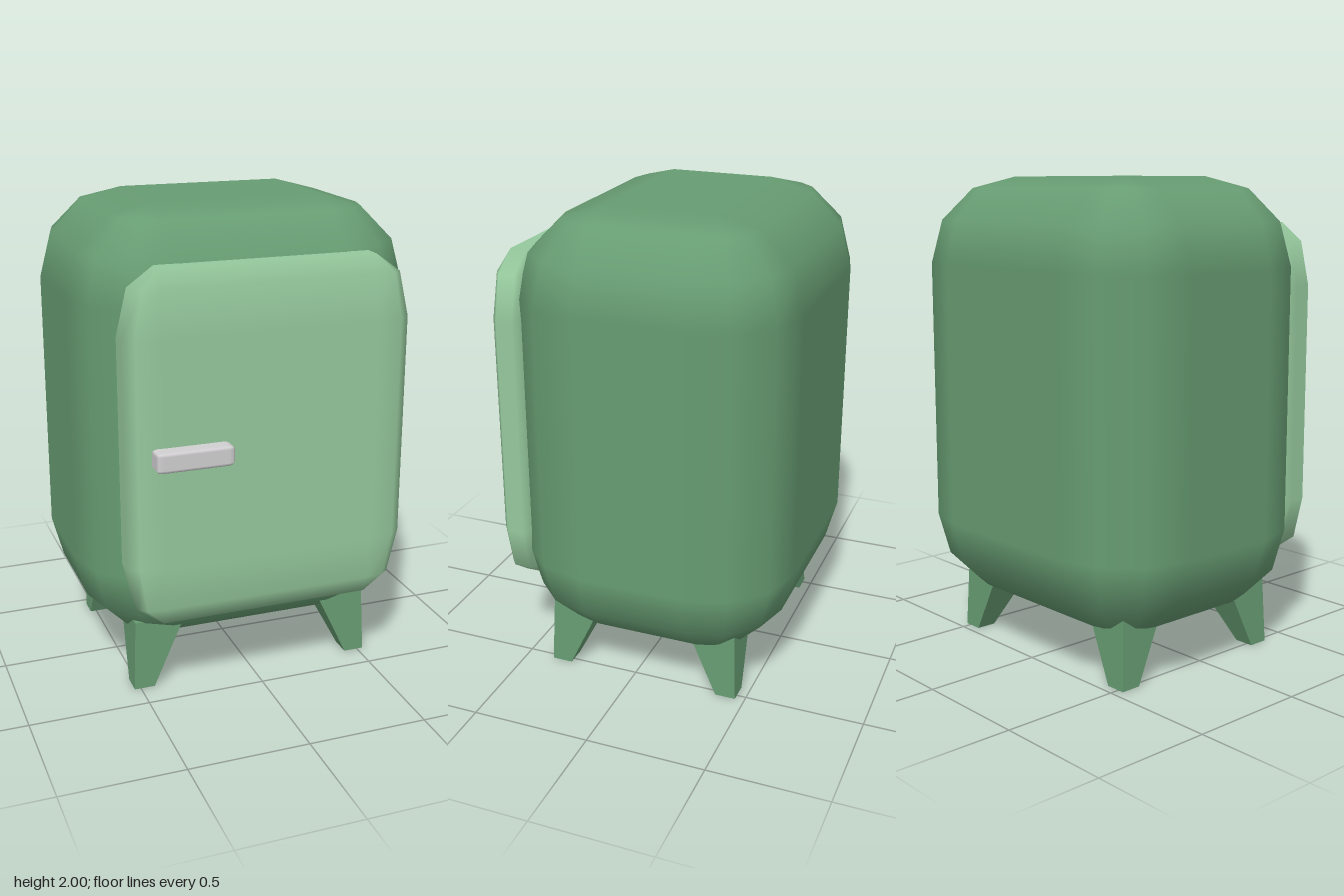
import * as THREE from 'three';

const bodyGreen = new THREE.MeshStandardMaterial({ name: 'body green', color: 0x679c72 });
const doorGreen = new THREE.MeshStandardMaterial({ name: 'door light green', color: 0x96c99d });
const handleGrey = new THREE.MeshStandardMaterial({ name: 'handle grey', color: 0xd2d0d2 });

// Box with elliptical rounded edges: half sizes, radii per axis, facets per quarter turn
function roundedBox(half, radii, steps) {
  const core = half.map((h, i) => h - radii[i]);
  const pos = [], nor = [], idx = [];
  const cols = 4 * (steps + 1);
  const quarter = Math.PI / 2;
  const add = (sx, sy, sz, n) => {
    const s = [sx, sy, sz];
    pos.push(...core.map((c, i) => s[i] * c + n[i] * radii[i]));
    nor.push(...new THREE.Vector3(...n.map((v, i) => v / radii[i])).normalize().toArray());
  };
  // Rings from bottom to top; each quadrant is pushed out to its own corner
  for (let side = -1; side <= 1; side += 2) {
    for (let r = 0; r <= steps; r++) {
      const lat = quarter * (side < 0 ? r / steps - 1 : r / steps);
      for (let q = 0; q < 4; q++) {
        const sx = q === 0 || q === 3 ? 1 : -1, sz = q < 2 ? 1 : -1;
        for (let k = 0; k <= steps; k++) {
          const lon = quarter * (q + k / steps);
          add(sx, side, sz, [Math.cos(lat) * Math.cos(lon), Math.sin(lat), Math.cos(lat) * Math.sin(lon)]);
        }
      }
    }
  }
  const rows = 2 * (steps + 1);
  for (let r = 0; r < rows - 1; r++) {
    for (let c = 0; c < cols; c++) {
      const a = r * cols + c, b = r * cols + (c + 1) % cols;
      idx.push(a, a + cols, b, b, a + cols, b + cols);
    }
  }
  // Flat bottom and top
  const [b0, b1, b2, b3] = [0, 1, 2, 3].map(q => q * (steps + 1));
  const t = (rows - 1) * cols;
  idx.push(b0, b1, b2, b0, b2, b3, t + b0, t + b2, t + b1, t + b0, t + b3, t + b2);
  const g = new THREE.BufferGeometry();
  g.setAttribute('position', new THREE.Float32BufferAttribute(pos, 3));
  g.setAttribute('normal', new THREE.Float32BufferAttribute(nor, 3));
  g.setIndex(idx);
  return g;
}

// Tapered leg whose outer corner stays almost upright
function legGeometry(sx, sz) {
  const g = new THREE.BoxGeometry(1, 1, 1);
  const p = g.attributes.position;
  for (let i = 0; i < p.count; i++) {
    const top = p.getY(i) > 0;
    const outer = top ? 0.515 : 0.527, inner = top ? 0.30 : 0.44;
    const x = p.getX(i) * sx > 0 ? outer : inner;
    const z = (p.getZ(i) * sz > 0 ? outer : inner) - 0.107;
    p.setXYZ(i, sx * x, top ? 0.3 : 0, sz * z - 0.04);
  }
  g.computeVertexNormals();
  return g;
}

export function createModel() {
  const model = new THREE.Group();
  model.name = 'refrigerator';
  const part = (name, geometry, material, x = 0, y = 0, z = 0) => {
    const mesh = new THREE.Mesh(geometry, material);
    mesh.name = name;
    mesh.position.set(x, y, z);
    model.add(mesh);
  };

  part('body', roundedBox([0.71, 0.91, 0.58], [0.36, 0.36, 0.36], 3), bodyGreen, 0, 1.09, -0.065);
  part('door', roundedBox([0.59, 0.72, 0.083], [0.15, 0.26, 0.048], 2), doorGreen, 0, 1.09, 0.5);
  part('handle', roundedBox([0.157, 0.041, 0.04], [0.025, 0.014, 0.012], 2), handleGrey, -0.335, 1.09, 0.605);

  for (const [sz, depth] of [[1, 'front'], [-1, 'back']]) {
    for (const [sx, side] of [[1, 'Left'], [-1, 'Right']]) {
      part(depth + side + 'Leg', legGeometry(sx, sz), bodyGreen);
    }
  }
  return model;
}
